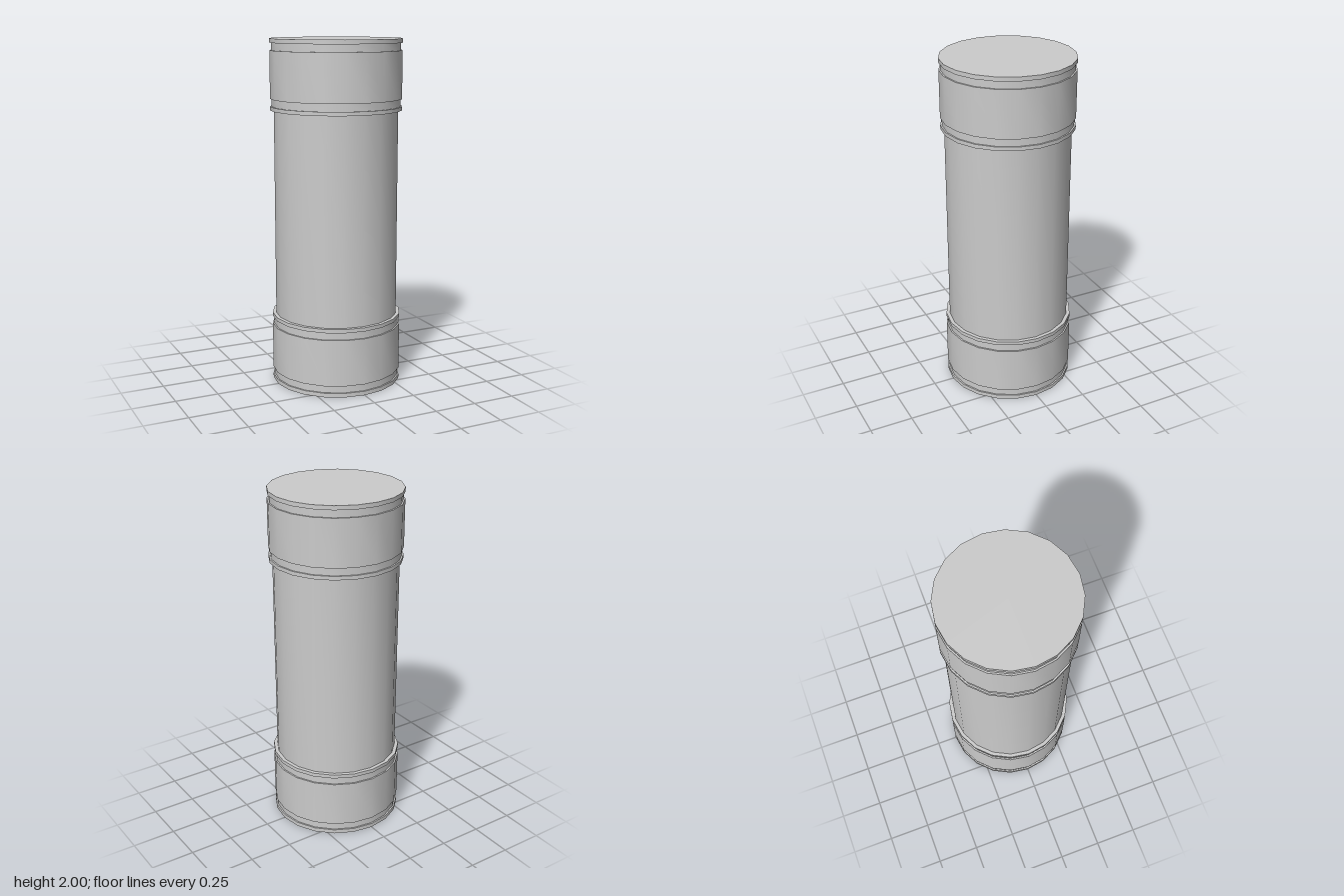
import * as THREE from 'three';
import { toCreasedNormals } from 'three/addons/utils/BufferGeometryUtils.js';

const SIDES = 20;
const R_SHAFT = 0.357, R_GROOVE = 0.369, R_BAND = 0.378;
const CAP_HEIGHT = 0.403, HEIGHT = 2;

export function createModel() {
  const group = new THREE.Group();
  const material = new THREE.MeshStandardMaterial({ color: 0xcccccc });

  // Revolves a [radius, height] profile, smooth around but sharp at the steps
  const turned = (name, profile) => {
    const points = profile.map(([r, y]) => new THREE.Vector2(r, y));
    const lathe = new THREE.LatheGeometry(points, SIDES);
    const mesh = new THREE.Mesh(toCreasedNormals(lathe, Math.PI / 6), material);
    mesh.name = name;
    group.add(mesh);
    return mesh;
  };

  // Central shaft between the two caps
  turned('shaft', [[R_SHAFT, CAP_HEIGHT], [R_SHAFT, HEIGHT - CAP_HEIGHT]]);

  // End cap: rim, groove, wide band, groove, rim
  const capProfile = [
    [0, 0],
    [R_BAND, 0], [R_BAND, 0.024],
    [R_GROOVE, 0.024], [R_GROOVE, 0.066],
    [R_BAND, 0.066], [R_BAND, 0.338],
    [R_GROOVE, 0.338], [R_GROOVE, 0.381],
    [R_BAND, 0.381], [R_BAND, CAP_HEIGHT],
    [R_SHAFT, CAP_HEIGHT],
  ];
  turned('bottomCap', capProfile);

  // Same cap turned upside down at the top
  const topCap = turned('topCap', capProfile);
  topCap.rotation.x = Math.PI;
  topCap.position.y = HEIGHT;

  return group;
}
